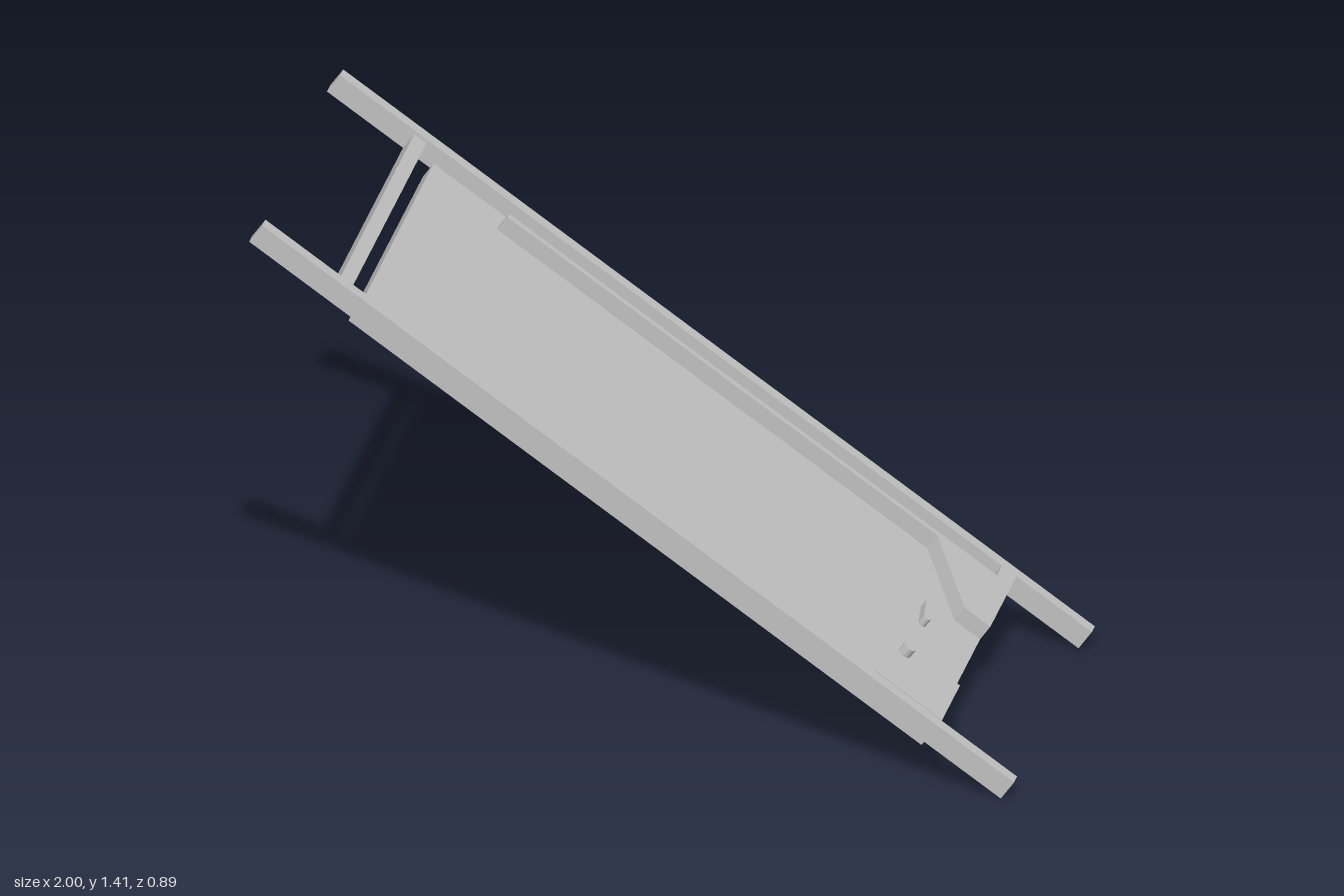
import * as THREE from 'three';

// Tilted table: local x runs down the slope, local y is the table normal
export function createModel() {
  const model = new THREE.Group();
  model.name = 'tiltedTable';
  const table = new THREE.Group();
  table.name = 'table';
  table.rotation.z = -0.6055;
  table.position.y = 0.705;
  model.add(table);

  const grey = new THREE.MeshStandardMaterial({ color: 0xc0c0c0 });
  grey.name = 'plain grey';
  const FLOOR = -0.014, TOP = 0.033;

  function add(name, geometry) {
    const mesh = new THREE.Mesh(geometry, grey);
    mesh.name = name;
    table.add(mesh);
    return mesh;
  }

  // Box given by its limits on each axis
  function box(name, x0, x1, y0, y1, z0, z1) {
    const mesh = add(name, new THREE.BoxGeometry(x1 - x0, y1 - y0, z1 - z0));
    mesh.position.set((x0 + x1) / 2, (y0 + y1) / 2, (z0 + z1) / 2);
  }

  // Plan outline of [x, z] points raised from y0 to y1
  function plate(name, outline, y0, y1) {
    const shape = new THREE.Shape(outline.map(([x, z]) => new THREE.Vector2(x, -z)));
    const geometry = new THREE.ExtrudeGeometry(shape, { depth: y1 - y0, bevelEnabled: false });
    geometry.rotateX(-Math.PI / 2);
    geometry.translate(0, y0, 0);
    add(name, geometry);
  }

  // Long side rails
  box('leftRail', -1.195, 1.195, -0.0305, 0.0305, 0.412, 0.446);
  box('rightRail', -1.195, 1.195, -0.0305, 0.0305, -0.446, -0.412);

  // Playing floor and the separate cross bar above it
  box('floor', -0.867, 0.955, -0.062, FLOOR, -0.412, 0.412);
  box('crossBar', -0.953, -0.914, -0.0305, 0.022, -0.412, 0.412);

  // Raised corner on the left
  plate('leftApron', [[0.74, 0.412], [0.873, 0.215], [0.955, 0.215], [0.955, 0.412]], FLOOR, TOP);

  // Raised corner on the right, joined to the lane divider
  plate('rightApronAndLane', [
    [-0.643, -0.335], [0.725, -0.335], [0.873, -0.12], [0.955, -0.12],
    [0.955, -0.412], [0.909, -0.412], [0.909, -0.353], [-0.643, -0.353],
  ], FLOOR, TOP);

  // Pair of tapered flippers, wide ends outward
  for (const side of [1, -1]) {
    const outline = [];
    const arc = (x, offset, radius, start) => {
      for (let i = 0; i <= 6; i++) {
        const a = start + (i / 6) * Math.PI;
        outline.push([x + radius * Math.cos(a), 0.0475 + side * (offset + radius * Math.sin(a))]);
      }
    };
    arc(0.798, 0.119, 0.018, 0);
    arc(0.803, 0.053, 0.011, Math.PI);
    plate(side > 0 ? 'leftFlipper' : 'rightFlipper', outline, FLOOR, 0.012);
  }
  return model;
}
